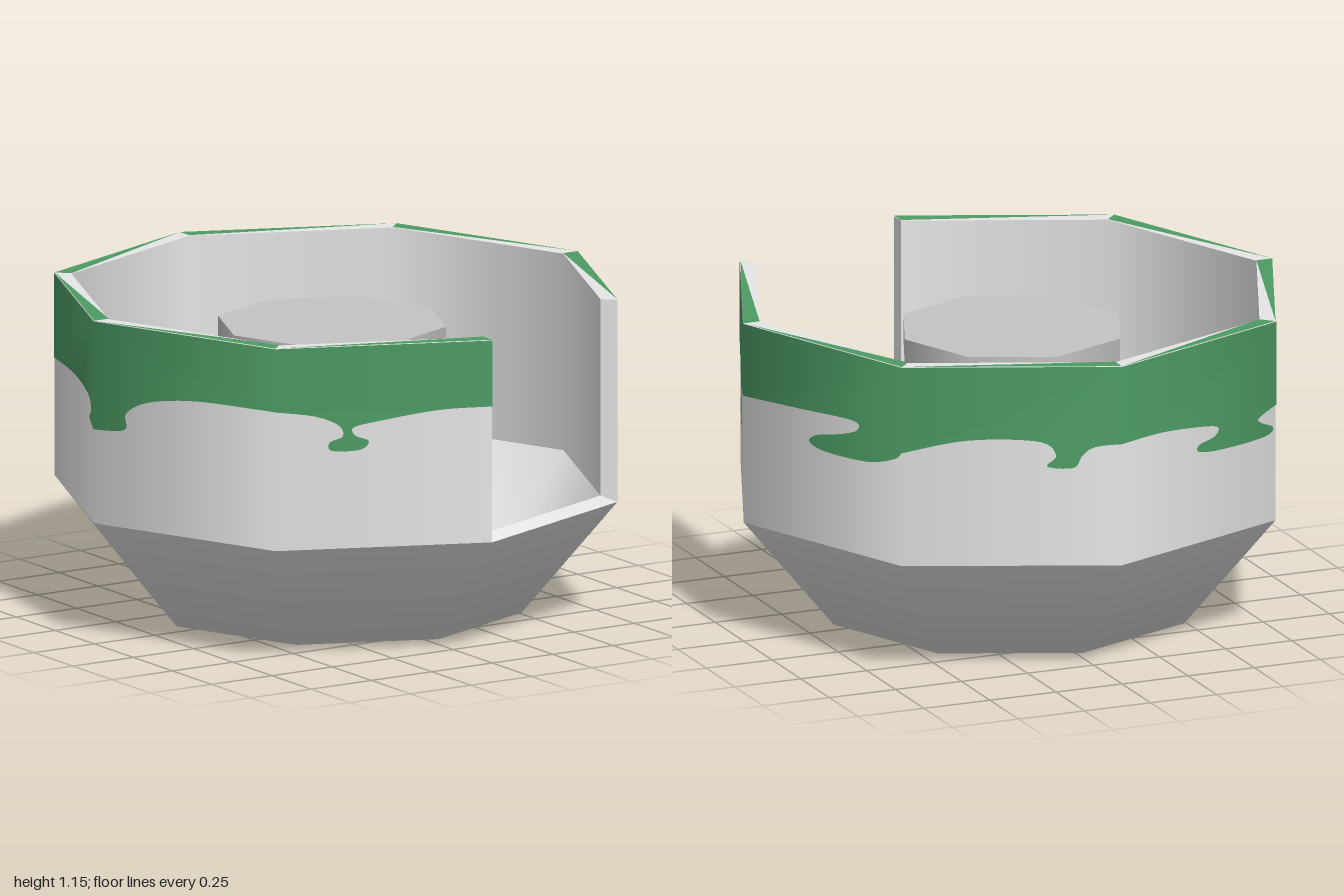
import * as THREE from 'three';

const STEP = Math.PI / 4;          // eight-sided body, panel 0 is the open doorway
const OUT = 1, IN = 0.94, TOP = 1.15, WAIST = 0.43, SILL = 0.45;

// Lower edge of the paint on panels 1 to 7: [fraction along panel, height]
const DRIPS = [
  [[0, .86], [.25, .84], [.36, .81], [.4, .78], [.36, .74], [.27, .71], [.27, .68], [.4, .67], [.57, .67], [.63, .7], [.6, .74], [.54, .78], [.56, .82], [.72, .85], [1, .89]],
  [[0, .89], [.35, .9], [.69, .91], [.72, .88], [.62, .85], [.46, .82], [.42, .79], [.52, .77], [.78, .775], [.95, .81], [1, .84]],
  [[0, .84], [.3, .885], [.62, .88], [.7, .83], [.66, .79], [.78, .785], [.82, .83], [.88, .86], [1, .87]],
  [[0, .87], [.25, .87], [.5, .85], [.62, .83], [.6, .8], [.5, .785], [.5, .76], [.65, .745], [.92, .745], [.98, .77], [.9, .8], [.89, .82], [1, .85]],
  [[0, .85], [.5, .88], [.85, .87], [.94, .83], [.9, .79], [1, .765]],
  [[0, .765], [.17, .78], [.18, .84], [.3, .89], [.55, .92], [.9, .925], [1, .925]],
  [[0, .925], [.18, .905], [.29, .87], [.31, .83], [.25, .81], [.26, .78], [.39, .78], [.43, .81], [.37, .83], [.36, .86], [.48, .88], [.75, .91], [1, .915]],
];

// Point on the straight panel k at fraction u and corner radius r
function onPanel(k, u, r, y) {
  const corner = (a) => new THREE.Vector3(Math.sin(a) * r, y, Math.cos(a) * r);
  return corner(k * STEP).lerp(corner((k + 1) * STEP), u);
}

export function createModel() {
  const model = new THREE.Group();
  const white = new THREE.MeshStandardMaterial({ color: 0xe6e6e6 });
  const green = new THREE.MeshStandardMaterial({ color: 0x4d9c64 });
  const grey = new THREE.MeshStandardMaterial({ color: 0xc4c4c4 });
  const darkGrey = new THREE.MeshStandardMaterial({ color: 0x8c8c8c });
  white.name = 'white';
  green.name = 'green';
  grey.name = 'grey';
  darkGrey.name = 'darkGrey';

  const add = (name, geometry, material, parent = model) => {
    const mesh = new THREE.Mesh(geometry, material);
    mesh.name = name;
    parent.add(mesh);
    return mesh;
  };
  // Eight-sided band turned from a profile, covering some of the panels
  const band = (name, profile, first = 0, count = 8) => add(name,
    new THREE.LatheGeometry(profile.map(([x, y]) => new THREE.Vector2(x, y)), count, first * STEP, count * STEP), white);

  // Tapered base and its hollow
  band('baseOuter', [[0, .02], [.66, .02], [OUT, WAIST]]);
  band('baseInner', [[IN, SILL], [.62, .08], [0, .08]]);

  // Seven wall panels, rim and doorway sill
  band('wallOuter', [[OUT, WAIST], [OUT, TOP]], 1, 7);
  band('wallInner', [[IN, TOP], [IN, SILL]], 1, 7);
  band('rim', [[OUT, TOP], [IN, TOP]], 1, 7);
  band('doorSill', [[OUT, WAIST], [IN, SILL]], 0, 1);

  // Doorway side faces
  for (const [angle, turn] of [[0, Math.PI / 2], [STEP, -STEP]]) {
    const jamb = add('doorJamb', new THREE.PlaneGeometry(OUT - IN, TOP - WAIST), white);
    const r = (OUT + IN) / 2;
    jamb.position.set(Math.sin(angle) * r, (TOP + WAIST) / 2, Math.cos(angle) * r);
    jamb.rotation.y = turn;
  }

  // Dripping paint on each panel and along the outer rim
  const paint = new THREE.Group();
  paint.name = 'drippingPaint';
  model.add(paint);
  DRIPS.forEach((edge, i) => {
    const k = i + 1;
    const curve = new THREE.SplineCurve(edge.map(([u, y]) => new THREE.Vector2(u, y)));
    const outline = curve.getPoints(edge.length * 6);
    outline.forEach((p) => { p.x = THREE.MathUtils.clamp(p.x, 0, 1); });
    outline.push(new THREE.Vector2(1, TOP), new THREE.Vector2(0, TOP));
    const geometry = new THREE.ShapeGeometry(new THREE.Shape(outline));
    const pos = geometry.attributes.position;
    for (let v = 0; v < pos.count; v++) {
      const u = pos.getX(v), y = pos.getY(v);
      const p = onPanel(k, u, OUT + .003, y);
      const n = onPanel(k, u, 1, 0).normalize();
      pos.setXYZ(v, p.x, p.y, p.z);
      geometry.attributes.normal.setXYZ(v, n.x, n.y, n.z);
    }
    add('paintPanel', geometry, green, paint);

    const y = TOP + .002;
    const rimPaint = new THREE.BufferGeometry().setFromPoints(
      [onPanel(k, 0, OUT, y), onPanel(k, 1, OUT, y), onPanel(k, 1, IN, y)]);
    rimPaint.computeVertexNormals();
    add('paintRim', rimPaint, green, paint);
  });

  // Central table on its post, which passes through the base
  const table = new THREE.Group();
  table.name = 'table';
  table.position.set(-.01, 0, -.01);
  model.add(table);
  add('tableTop', new THREE.CylinderGeometry(.405, .405, .09, 8), grey, table).position.y = .98;
  add('tablePost', new THREE.CylinderGeometry(.08, .08, .94, 8), darkGrey, table).position.y = .47;

  return model;
}
